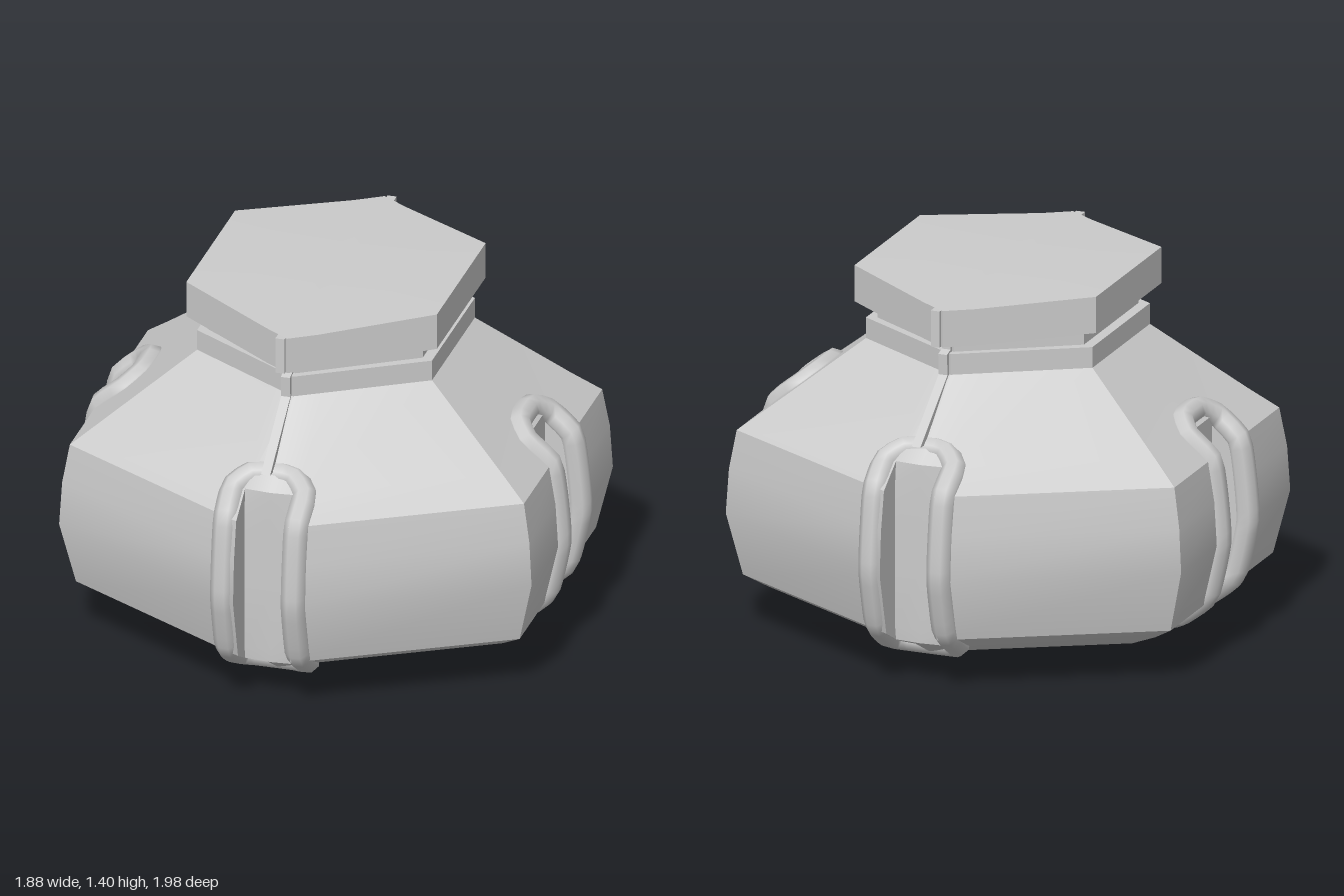
import * as THREE from 'three';
import { toCreasedNormals } from 'three/addons/utils/BufferGeometryUtils.js';

const mat = new THREE.MeshStandardMaterial({ color: 0xcccccc, side: THREE.DoubleSide });
const SLOT_X = 0.77, SLOT_Z = 0.84, COS = Math.sqrt(3) / 2;

// body levels: [height, half width across flats, stretch along z]
const BODY = [
  [0, 0, 1], [0.1, 0.65, 1], [0.16, 0.77, 1], [0.21, 0.85, 1], [0.45, 0.905, 1],
  [0.62, 0.895, 1], [0.77, 0.87, 1], [0.85, 0.77, 1], [1.11, 0.45, 1.06], [1.19, 0.45, 1.06],
  [1.19, 0.41, 1.1], [1.27, 0.41, 1.1],
];
// lid levels: the last value lowers the front and back corners
const LID = [
  [1.26, 0, 1.13, 0], [1.26, 0.48, 1.13, 0.02], [1.4, 0.48, 1.13, 0.02], [1.4, 0, 1.13, 0],
];

// hexagonal ring, with the slot floors cut where the wall is far enough out
function ring([y, a, s, dip = 0]) {
  const R = (a / COS) * s, w = Math.min(0.1, a * 0.25);
  const zw = R - w * 0.5 * R / (a || 1);
  const fx = Math.min(a, SLOT_X), low = y - dip;
  const half = [
    [a, -R / 2], [a, -w], [fx, -w], [fx, w], [a, w], [a, R / 2],
    [w, zw, low], [w, Math.min(zw, SLOT_Z), low], [0, Math.min(R, SLOT_Z), low],
    [-w, Math.min(zw, SLOT_Z), low], [-w, zw, low],
  ].map(([x, z, h = y]) => [x, h, z]);
  return [...half, ...half.map(([x, h, z]) => [-x, h, -z])];
}

// skin over a stack of rings
function loft(levels, crease) {
  const rings = levels.map(ring), n = rings[0].length, index = [];
  for (let i = 0; i < rings.length - 1; i++) {
    for (let j = 0; j < n; j++) {
      const p = i * n + j, q = i * n + (j + 1) % n;
      index.push(p, p + n, q, q, p + n, q + n);
    }
  }
  const g = new THREE.BufferGeometry();
  g.setAttribute('position', new THREE.Float32BufferAttribute(rings.flat(2), 3));
  g.setIndex(index);
  return toCreasedNormals(g, crease);
}

// half width of the body at a height
function widthAt(y) {
  const i = BODY.findIndex((l) => l[0] >= y);
  const [y0, a0] = BODY[i - 1], [y1, a1] = BODY[i];
  return a0 + (a1 - a0) * (y - y0) / (y1 - y0);
}

// rounded rim that follows the wall around a slot
function rimGeometry(reach) {
  const u = 0.135;
  const side = [0.15, 0.24, 0.45, 0.6, 0.76, 0.84].map((y) => [u, y, reach(y)]);
  const top = [0.07, 0.88, reach(0.88)], bottom = [0.08, 0.13, reach(0.13)];
  const right = [bottom, ...side, top];
  const left = right.map(([x, y, z]) => [-x, y, z]).reverse();
  const pts = [...right, ...left].map((p) => new THREE.Vector3(...p));
  const path = new THREE.CatmullRomCurve3(pts, true, 'catmullrom', 0.25);
  return new THREE.TubeGeometry(path, 56, 0.048, 8, true);
}

export function createModel() {
  const group = new THREE.Group();
  const add = (name, geometry, turn = 0) => {
    const mesh = new THREE.Mesh(geometry, mat);
    mesh.name = name;
    mesh.rotation.y = turn;
    group.add(mesh);
    return mesh;
  };

  add('jarBody', loft(BODY, 0.6));
  add('lid', loft(LID, 0.6));

  // slot rims on the two corners and the two flats
  const cornerRim = rimGeometry((y) => widthAt(y) / COS - 0.098);
  const flatRim = rimGeometry((y) => widthAt(y) - 0.012);
  add('frontRim', cornerRim).position.x = -0.015;
  add('backRim', cornerRim, Math.PI).position.x = 0.015;
  add('leftRim', flatRim, Math.PI / 2);
  add('rightRim', flatRim, -Math.PI / 2);

  // thin seam strips from the corner rims up to the lid
  const outline = [
    [0.82, 0.91], [0.56, 1.11], [0.565, 1.19], [0.53, 1.2], [0.53, 1.245], [0.635, 1.24],
    [0.635, 1.38], [0.56, 1.38], [0.45, 1.2], [0.45, 1.1], [0.7, 0.9],
  ];
  const seam = new THREE.ExtrudeGeometry(
    new THREE.Shape(outline.map((p) => new THREE.Vector2(...p))),
    { depth: 0.035, bevelEnabled: false });
  seam.rotateY(-Math.PI / 2).translate(-0.008, 0, 0);
  add('frontSeam', seam);
  add('backSeam', seam, Math.PI);

  return group;
}
